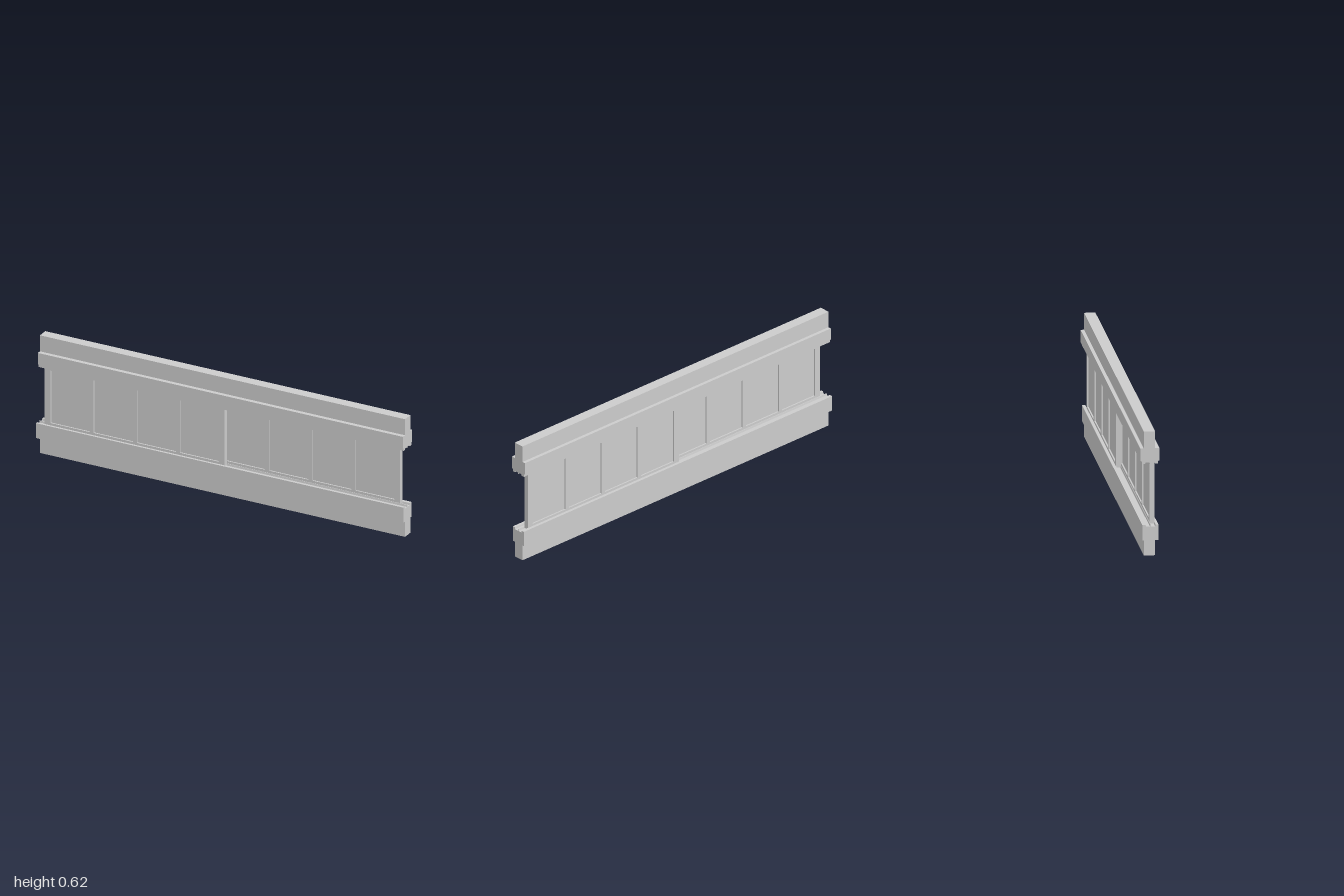
import * as THREE from 'three';

const material = new THREE.MeshStandardMaterial({ color: 0xcccccc, flatShading: true });

function addMesh(parent, name, geometry) {
  const mesh = new THREE.Mesh(geometry, material);
  mesh.name = name;
  parent.add(mesh);
  return mesh;
}

// Extrudes a [z, y] section along x between two ends
function beam(parent, name, section, x0, x1) {
  const shape = new THREE.Shape(section.map(([z, y]) => new THREE.Vector2(-z, y)));
  const geometry = new THREE.ExtrudeGeometry(shape, { depth: x1 - x0, bevelEnabled: false });
  geometry.rotateY(Math.PI / 2).translate(x0, 0, 0);
  return addMesh(parent, name, geometry);
}

// Two door tracks cut into a rail: section points from front to back
function tracks(edge, depth) {
  return [
    [0.026, edge], [0.024, depth], [0.005, depth], [0.003, edge],
    [0.001, edge], [-0.001, depth], [-0.020, depth], [-0.022, edge],
  ];
}

// Sliding door: framed leaf with thin panels between flush mullions
function createDoor(name, x0, x1, z) {
  const door = new THREE.Group();
  door.name = name;
  const y0 = 0.15, y1 = 0.46, thick = 0.024;
  const left = x0 + 0.034, right = x1 - 0.031, low = 0.17, high = 0.445;
  const count = 4, bar = 0.022;
  const paneWidth = (right - left - bar * (count - 1)) / count;

  const frame = new THREE.Shape([
    new THREE.Vector2(x0, y0), new THREE.Vector2(x1, y0),
    new THREE.Vector2(x1, y1), new THREE.Vector2(x0, y1),
  ]);
  for (let i = 0; i < count; i++) {
    const a = left + i * (paneWidth + bar), b = a + paneWidth;
    frame.holes.push(new THREE.Path([
      new THREE.Vector2(a, low), new THREE.Vector2(a, high),
      new THREE.Vector2(b, high), new THREE.Vector2(b, low),
    ]));
    const pane = addMesh(door, 'doorPanel', new THREE.BoxGeometry(paneWidth, high - low, 0.01));
    pane.position.set((a + b) / 2, (low + high) / 2, 0);
  }
  const geometry = new THREE.ExtrudeGeometry(frame, { depth: thick, bevelEnabled: false });
  addMesh(door, 'doorFrame', geometry.translate(0, 0, -thick / 2));
  door.position.z = z;
  return door;
}

export function createModel() {
  const group = new THREE.Group();
  group.name = 'slidingDoorPartition';

  // Lower beam and grooved sill
  beam(group, 'lowerBeam', [[0.026, 0], [-0.028, 0], [-0.028, 0.08], [0.026, 0.08]], -0.985, 1);
  beam(group, 'sill', [
    [0.039, 0.08], [0.039, 0.158], ...tracks(0.158, 0.148), [-0.038, 0.158], [-0.038, 0.08],
  ], -1, 1);

  // Grooved head rail with stepped lip, and the beam above it
  beam(group, 'headRail', [
    [0.047, 0.533], [0.047, 0.472], [0.039, 0.468], [0.039, 0.456],
    ...tracks(0.456, 0.463),
    [-0.038, 0.456], [-0.038, 0.468], [-0.045, 0.472], [-0.045, 0.533],
  ], -0.985, 1);
  beam(group, 'upperBeam', [[0.026, 0.533], [-0.028, 0.533], [-0.028, 0.617], [0.026, 0.617]], -0.985, 1);

  // Two overlapping doors, right one on the front track
  group.add(createDoor('frontDoor', -0.96, 0.02, 0.015));
  group.add(createDoor('rearDoor', -0.02, 0.96, -0.011));

  return group;
}
